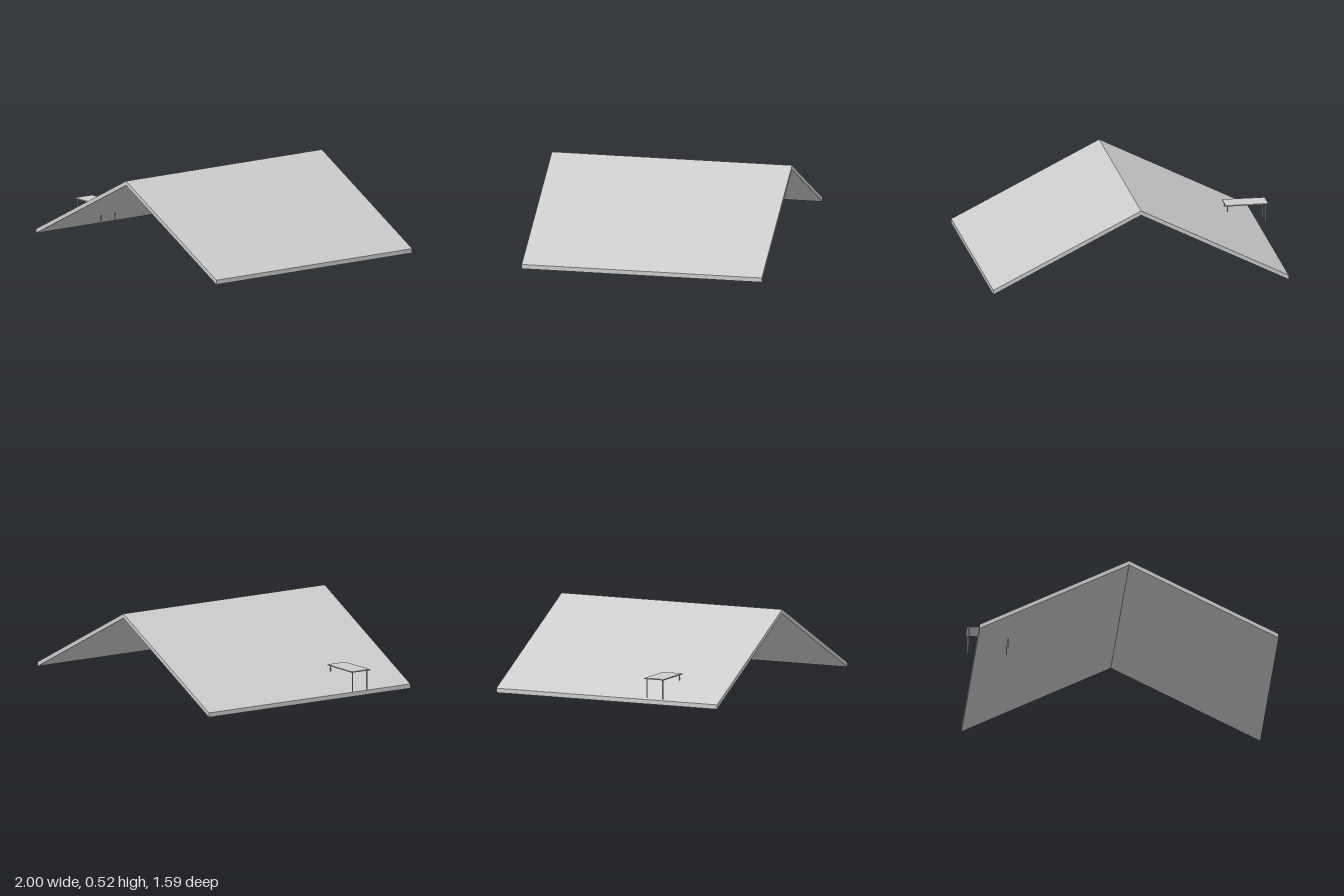
import * as THREE from 'three';

export function createModel() {
  const group = new THREE.Group();
  const grey = new THREE.MeshStandardMaterial({ color: 0xcccccc });
  grey.name = 'light grey';

  // Gabled roof slab: chevron section extruded along z
  const depth = 1.59;
  const section = new THREE.Shape([
    [-0.945, 0], [0.027, 0.488], [1, 0],
    [1, 0.029], [0.027, 0.517], [-0.945, 0.029],
  ].map(([x, y]) => new THREE.Vector2(x, y)));
  const roofGeometry = new THREE.ExtrudeGeometry(section, { depth, bevelEnabled: false });
  roofGeometry.translate(0, 0, -depth / 2);
  const roof = new THREE.Mesh(roofGeometry, grey);
  roof.name = 'roof';
  group.add(roof);

  // Small table standing through the left slope
  const table = new THREE.Group();
  table.name = 'table';
  table.position.set(-0.86, 0, 0.367);
  group.add(table);

  const top = new THREE.Mesh(new THREE.BoxGeometry(0.28, 0.007, 0.14), grey);
  top.name = 'tableTop';
  top.position.y = 0.1755;
  table.add(top);

  // Four thin round legs
  const legGeometry = new THREE.CylinderGeometry(0.004, 0.004, 0.127, 16);
  for (const sx of [-1, 1]) {
    for (const sz of [-1, 1]) {
      const leg = new THREE.Mesh(legGeometry, grey);
      leg.name = 'tableLeg';
      leg.position.set(sx * 0.126, 0.1095, sz * 0.056);
      table.add(leg);
    }
  }
  return group;
}
